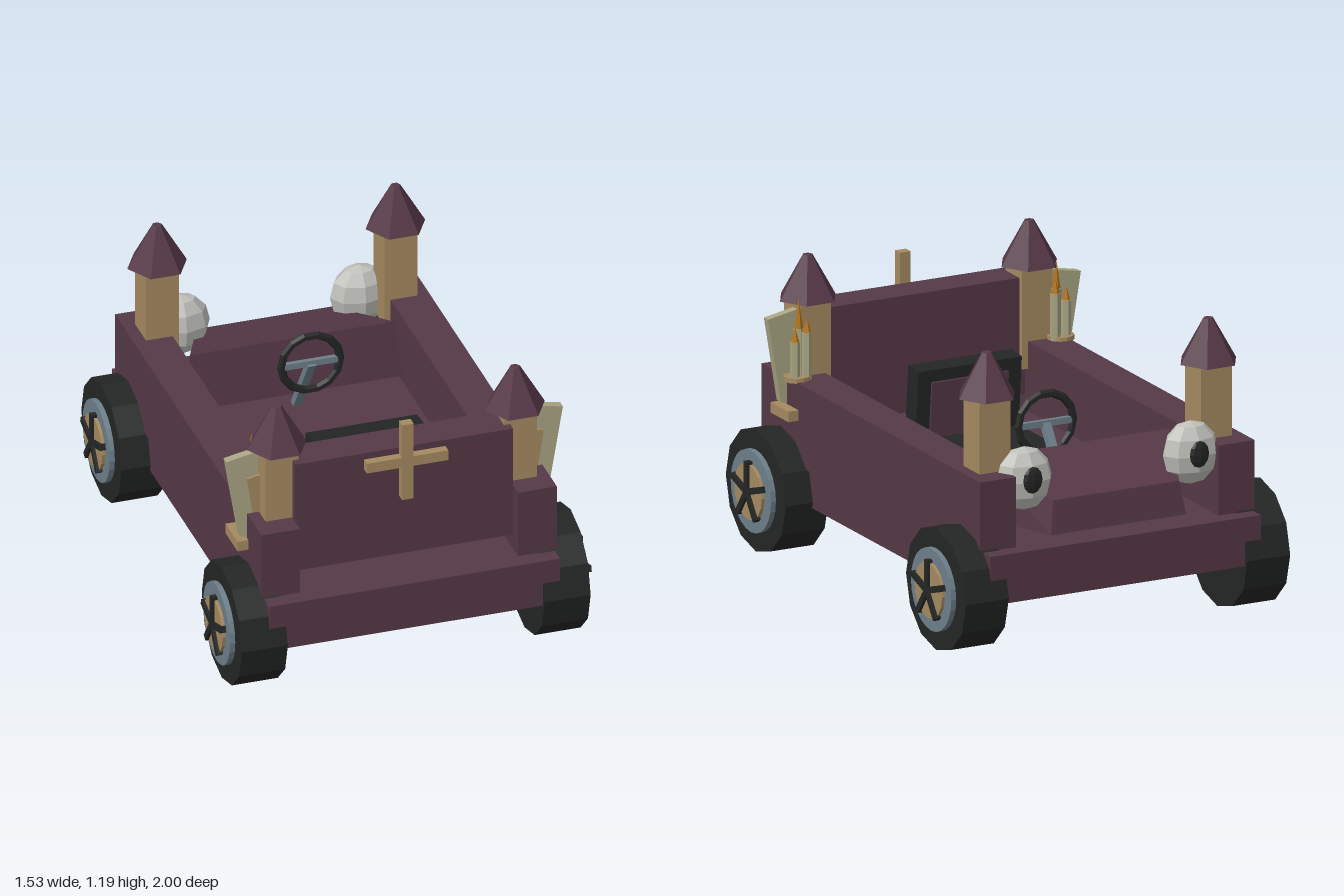
import * as THREE from 'three';
import { ConvexGeometry } from 'three/addons/geometries/ConvexGeometry.js';

function material(name, color) {
  const m = new THREE.MeshStandardMaterial({ color, flatShading: true });
  m.name = name;
  return m;
}

export function createModel() {
  const model = new THREE.Group();
  model.name = 'castleCart';

  const maroon = material('maroon', 0x553846);
  const tan = material('tan', 0xa58a60);
  const cream = material('cream', 0xa9a584);
  const black = material('black', 0x242525);
  const steel = material('steel', 0x6d7f8a);
  const white = material('white', 0xbfc0ba);
  const orange = material('orange', 0xb5751a);

  function add(name, geo, mat, x = 0, y = 0, z = 0, parent = model) {
    const mesh = new THREE.Mesh(geo, mat);
    mesh.name = name;
    mesh.position.set(x, y, z);
    parent.add(mesh);
    return mesh;
  }
  // Box given by its extents on each axis
  function block(name, mat, x0, x1, y0, y1, z0, z1, parent = model) {
    const geo = new THREE.BoxGeometry(Math.abs(x1 - x0), y1 - y0, z1 - z0);
    return add(name, geo, mat, (x0 + x1) / 2, (y0 + y1) / 2, (z0 + z1) / 2, parent);
  }
  // Thin upright plate from a side-mirrored outline
  function plate(name, mat, s, points, z, depth) {
    const shape = new THREE.Shape(points.map(([x, y]) => new THREE.Vector2(s * x, y)));
    return add(name, new THREE.ExtrudeGeometry(shape, { depth, bevelEnabled: false }), mat, 0, 0, z);
  }

  // Body
  block('chassis', maroon, -0.6, 0.6, 0.225, 0.425, -0.98, 0.98);
  block('frontPanel', maroon, -0.45, 0.45, 0.49, 0.97, 0.7, 0.85);

  // Tapered hood sloping down to the rear
  const hood = [];
  for (const s of [-1, 1]) {
    hood.push(
      new THREE.Vector3(s * 0.45, 0.455, -0.52), new THREE.Vector3(s * 0.3, 0.455, -0.92),
      new THREE.Vector3(s * 0.42, 0.69, -0.55), new THREE.Vector3(s * 0.28, 0.59, -0.9));
  }
  add('hood', new ConvexGeometry(hood), maroon);

  // Cross on the front panel
  block('crossUpright', tan, -0.024, 0.024, 0.757, 1.095, 0.855, 0.895);
  block('crossBar', tan, -0.168, 0.168, 0.902, 0.946, 0.856, 0.892);

  // Seat with a forward-leaning back
  block('seatCushion', black, -0.235, 0.235, 0.45, 0.49, -0.1, 0.4);
  const seatBack = new THREE.Group();
  seatBack.name = 'seatBack';
  seatBack.position.set(0, 0.45, 0.385);
  seatBack.rotation.x = -0.09;
  model.add(seatBack);
  block('backrest', black, -0.23, 0.23, 0, 0.335, -0.04, 0.045, seatBack);
  block('backrestPad', maroon, -0.17, 0.17, 0.05, 0.285, -0.05, -0.04, seatBack);

  // Steering wheel and column
  add('steeringRing', new THREE.TorusGeometry(0.122, 0.017, 6, 14), black, 0, 0.71, -0.315);
  block('steeringBar', steel, -0.115, 0.115, 0.697, 0.723, -0.325, -0.305);
  const from = new THREE.Vector3(0, 0.71, -0.31), to = new THREE.Vector3(0, 0.42, -0.5);
  const column = add('steeringColumn', new THREE.BoxGeometry(0.034, from.distanceTo(to), 0.03), steel);
  column.position.copy(from).lerp(to, 0.5);
  column.quaternion.setFromUnitVectors(new THREE.Vector3(0, 1, 0), from.clone().sub(to).normalize());

  for (const s of [-1, 1]) {
    block('sideWall', maroon, s * 0.45, s * 0.61, 0.375, 0.712, -0.91, 0.91);

    for (const z of [-0.745, 0.745]) {
      // Corner tower with a six-sided roof
      block('tower', tan, s * 0.424, s * 0.56, 0.6, 1.01, z - 0.068, z + 0.068);
      add('towerRoof', new THREE.CylinderGeometry(0.02, 0.123, 0.178, 6).rotateY(Math.PI / 6 * 3),
        maroon, s * 0.492, 1.098, z);

      // Wheel: tyre, rim, hub plate and five spokes
      const wheel = new THREE.Group();
      wheel.name = 'wheel';
      wheel.position.set(0, 0.25, Math.sign(z) * 0.75);
      model.add(wheel);
      const disc = (name, mat, r, x0, x1, sides) => add(name,
        new THREE.CylinderGeometry(r, r, x1 - x0, sides).rotateZ(Math.PI / 2),
        mat, s * (x0 + x1) / 2, 0, 0, wheel);
      disc('tyre', black, 0.25, 0.53, 0.72, 12);
      disc('rim', steel, 0.168, 0.7, 0.742, 24);
      disc('hubPlate', tan, 0.115, 0.73, 0.755, 16);
      for (let i = 0; i < 5; i++) {
        const spoke = new THREE.BoxGeometry(0.03, 0.125, 0.026);
        spoke.translate(0, 0.0625, 0).rotateX(i * Math.PI * 2 / 5);
        add('spoke', spoke, black, s * 0.752, 0, 0, wheel);
      }
    }

    // Rear eye with a flat pupil
    add('eye', new THREE.SphereGeometry(1, 8, 6).scale(0.122, 0.13, 0.085), white, s * 0.37, 0.675, -0.825);
    add('pupil', new THREE.SphereGeometry(1, 8, 6).scale(0.043, 0.055, 0.016), black, s * 0.37, 0.685, -0.9);

    // Side shelf and upright plates beside the front tower
    block('shelf', tan, s * 0.6, s * 0.655, 0.56, 0.603, 0.6, 0.75);
    plate('creamPlate', cream, s, [[0.6, 0.6], [0.638, 0.615], [0.695, 0.96], [0.565, 0.985], [0.565, 0.62]], 0.695, 0.035);
    plate('tanPlate', tan, s, [[0.55, 0.72], [0.588, 0.72], [0.612, 0.875], [0.55, 0.885]], 0.73, 0.012);

    // Candles on a round tray
    add('candleTray', new THREE.CylinderGeometry(0.055, 0.055, 0.02, 12), tan, s * 0.585, 0.718, 0.66);
    for (const [x, z, top] of [[0.572, 0.67, 0.915], [0.602, 0.645, 0.87], [0.552, 0.64, 0.905]]) {
      add('candle', new THREE.CylinderGeometry(0.02, 0.02, top - 0.71, 6), cream, s * x, (top + 0.71) / 2, z);
      const h = top > 0.91 ? 0.12 : 0.06;
      add('flame', new THREE.ConeGeometry(0.017, h, 6), orange, s * x, top + h / 2, z);
    }
  }
  return model;
}
